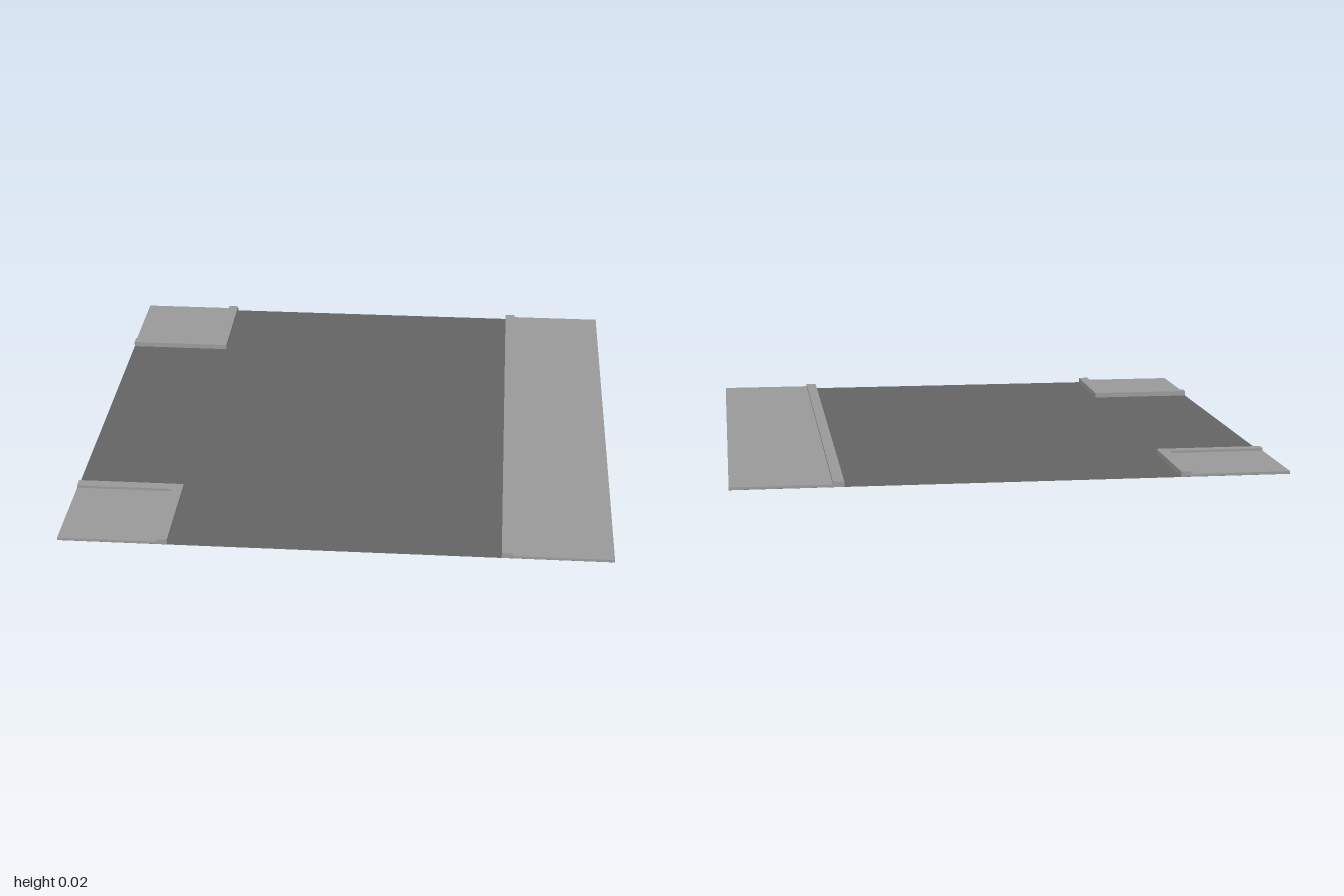
import * as THREE from 'three';

const INNER = 0.6;    // roadway edge
const CURB = 0.04;    // curb width
const CURB_H = 0.02;
const WALK_H = 0.01;
const BASE = 0.0005;  // keeps undersides just above the road sheet

export function createModel() {
  const group = new THREE.Group();
  const asphalt = new THREE.MeshStandardMaterial({ color: 0x646464, side: THREE.DoubleSide });
  asphalt.name = 'asphalt';
  const concrete = new THREE.MeshStandardMaterial({ color: 0x999999 });
  concrete.name = 'concrete';

  const add = (name, geometry, material) => {
    const mesh = new THREE.Mesh(geometry, material);
    mesh.name = name;
    group.add(mesh);
  };

  // Raised slab from a ground outline of [x, z] points
  const slab = (name, outline, height) => {
    const shape = new THREE.Shape(outline.map(([x, z]) => new THREE.Vector2(x, -z)));
    const geometry = new THREE.ExtrudeGeometry(shape, { depth: height - BASE, bevelEnabled: false });
    geometry.rotateX(-Math.PI / 2).translate(0, BASE, 0);
    add(name, geometry, concrete);
  };

  // Road sheet under the whole tile
  add('road', new THREE.PlaneGeometry(2, 2).rotateX(-Math.PI / 2), asphalt);

  // Straight pavement and curb along the left edge
  const c = INNER + CURB;
  slab('straightCurb', [[INNER, -1], [c, -1], [c, 1], [INNER, 1]], CURB_H);
  slab('straightPavement', [[c, -1], [1, -1], [1, 1], [c, 1]], WALK_H);

  // Corner pavements with L-shaped curbs, mirrored front to back
  for (const [side, s] of [['front', 1], ['back', -1]]) {
    slab(side + 'CornerCurb', [
      [-1, s * INNER], [-INNER, s * INNER], [-INNER, s],
      [-c, s], [-c, s * c], [-1, s * c],
    ], CURB_H);
    slab(side + 'CornerPavement', [[-1, s * c], [-c, s * c], [-c, s], [-1, s]], WALK_H);
  }
  return group;
}
